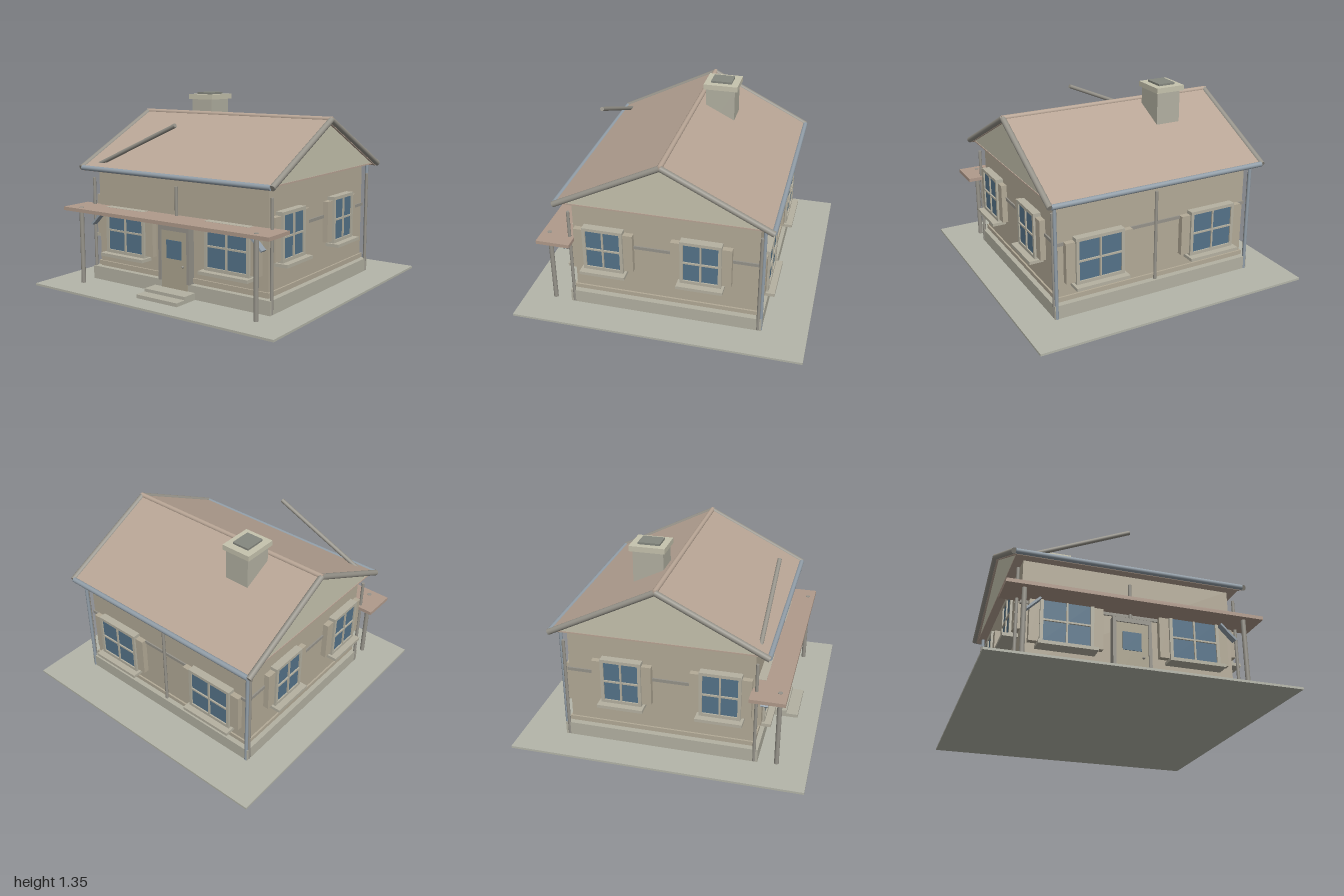
import * as THREE from 'three';

const mat = (c) => new THREE.MeshStandardMaterial({ color: c });
const M = {
  ground: mat(0xb4b5a9), stone: mat(0xb3b1a2), wall: mat(0xb3aa97), gable: mat(0xc6c3ae),
  roof: mat(0xb8a595), canopy: mat(0xb09a8b), timber: mat(0x96938a), metal: mat(0x929ea8),
  trim: mat(0xb5b1a1), glass: mat(0x557389), door: mat(0xaca48f), flue: mat(0x85887f),
};
const HALF = { x: 0.72, z: 0.635 }; // wall half sizes
const ZC = -0.016; // centre of the house along z

function add(parent, name, geo, material) {
  const m = new THREE.Mesh(geo, material);
  m.name = name;
  parent.add(m);
  return m;
}

// Box given by its lower and upper limits on each axis
function box(parent, name, [x0, x1], [y0, y1], [z0, z1], material) {
  const m = add(parent, name, new THREE.BoxGeometry(x1 - x0, y1 - y0, z1 - z0), material);
  m.position.set((x0 + x1) / 2, (y0 + y1) / 2, (z0 + z1) / 2);
  return m;
}

// Round bar between two points
function rod(parent, name, a, b, r, material) {
  const p = new THREE.Vector3(...a), d = new THREE.Vector3(...b).sub(p);
  const m = add(parent, name, new THREE.CylinderGeometry(r, r, d.length(), 16), material);
  m.position.copy(p).addScaledVector(d, 0.5);
  m.quaternion.setFromUnitVectors(new THREE.Vector3(0, 1, 0), d.normalize());
  return m;
}

// Profile drawn in (z, y), extruded along x and centred
function alongX(parent, name, pts, length, material) {
  const shape = new THREE.Shape(pts.map((p) => new THREE.Vector2(...p)));
  const geo = new THREE.ExtrudeGeometry(shape, { depth: length, bevelEnabled: false });
  geo.translate(0, 0, -length / 2).rotateY(-Math.PI / 2);
  return add(parent, name, geo, material);
}

// Window with frame, glazing bars, sill and shutters; faces +z from the wall plane
function makeWindow(w) {
  const g = new THREE.Group(), h = 0.325, f = 0.022;
  g.name = 'window';
  const shape = new THREE.Shape();
  shape.moveTo(-w / 2, 0).lineTo(w / 2, 0).lineTo(w / 2, h).lineTo(-w / 2, h).closePath();
  const hole = new THREE.Path();
  hole.moveTo(-w / 2 + f, f).lineTo(-w / 2 + f, h - f).lineTo(w / 2 - f, h - f).lineTo(w / 2 - f, f).closePath();
  shape.holes.push(hole);
  add(g, 'windowFrame', new THREE.ExtrudeGeometry(shape, { depth: 0.055, bevelEnabled: false }), M.trim);
  box(g, 'glass', [-w / 2 + f, w / 2 - f], [f, h - f], [0, 0.045], M.glass);
  box(g, 'verticalBar', [-0.006, 0.006], [f, h - f], [0.04, 0.055], M.trim);
  box(g, 'horizontalBar', [-w / 2 + f, w / 2 - f], [h / 2 - 0.006, h / 2 + 0.006], [0.04, 0.055], M.trim);
  box(g, 'windowSill', [-w / 2 - 0.018, w / 2 + 0.018], [-0.022, 0], [0, 0.1], M.trim);
  for (const s of [-1, 1]) {
    const x = s * (w / 2 + 0.033);
    box(g, 'shutter', [x - 0.033, x + 0.033], [0.015, h - 0.025], [0, 0.04], M.wall);
  }
  return g;
}

function makeRoof() {
  const g = new THREE.Group();
  g.name = 'roof';
  alongX(g, 'gable', [[-0.69, 0.832], [0.69, 0.832], [0, 1.178]], 1.55, M.gable);
  alongX(g, 'roofSlabs', [[-0.73, 0.835], [-0.72, 0.81], [0, 1.17], [0.72, 0.81], [0.73, 0.835], [0, 1.2]], 1.58, M.roof);
  box(g, 'soffit', [-0.78, 0.78], [0.824, 0.834], [-0.7, 0.7], M.roof);
  rod(g, 'ridgeCap', [-0.81, 1.195, 0], [0.81, 1.195, 0], 0.018, M.roof);
  for (const s of [-1, 1]) {
    rod(g, 'gutter', [-0.79, 0.83, s * 0.727], [0.79, 0.83, s * 0.727], 0.018, M.metal);
    for (const x of [-0.8, 0.8]) rod(g, 'bargeboard', [x, 1.193, 0], [x, 0.828, s * 0.73], 0.02, M.timber);
  }
  return g;
}

function makeChimney() {
  const g = new THREE.Group();
  g.name = 'chimney';
  box(g, 'chimneyStack', [-0.41, -0.23], [0.95, 1.3], [-0.28, -0.07], M.stone);
  box(g, 'chimneyCap', [-0.432, -0.215], [1.295, 1.332], [-0.3, -0.055], M.gable);
  box(g, 'flue', [-0.386, -0.26], [1.33, 1.346], [-0.25, -0.1], M.flue);
  return g;
}

function makeDoor() {
  const g = new THREE.Group();
  g.name = 'frontDoor';
  box(g, 'doorPanel', [-0.11, 0.11], [0.06, 0.46], [0.6, 0.663], M.door);
  box(g, 'doorWindow', [-0.065, 0.062], [0.268, 0.395], [0.65, 0.667], M.glass);
  for (const s of [-1, 1]) {
    const x = s * 0.121;
    box(g, 'doorJamb', [x - 0.011, x + 0.011], [0.11, 0.49], [0.6, 0.672], M.timber);
  }
  box(g, 'doorLintel', [-0.132, 0.132], [0.46, 0.49], [0.6, 0.672], M.timber);
  const knob = add(g, 'doorKnob', new THREE.SphereGeometry(0.009, 12, 8), M.timber);
  knob.position.set(0.075, 0.225, 0.668);
  box(g, 'lowerStep', [-0.175, 0.172], [0.014, 0.04], [0.62, 0.852], M.stone);
  box(g, 'upperStep', [-0.175, 0.172], [0.04, 0.062], [0.62, 0.77], M.stone);
  return g;
}

function makeCanopy() {
  const g = new THREE.Group();
  g.name = 'porchCanopy';
  box(g, 'canopyBoard', [-0.863, 0.86], [0.535, 0.56], [0.602, 0.836], M.canopy);
  for (const s of [-1, 1]) {
    rod(g, 'porchPost', [s * 0.738, 0.014, 0.785], [s * 0.738, 0.562, 0.785], 0.016, M.timber);
    const brace = add(g, 'porchBrace', new THREE.BoxGeometry(0.014, 0.15, 0.05), M.metal);
    brace.position.set(s * 0.668, 0.48, 0.682);
    brace.rotation.z = s * 0.8;
  }
  return g;
}

export function createModel() {
  const model = new THREE.Group();
  model.name = 'cottage';
  box(model, 'ground', [-1, 1], [0, 0.015], [-1, 1], M.ground);

  // Everything centred under the ridge
  const house = new THREE.Group();
  house.name = 'house';
  house.position.z = ZC;
  model.add(house);
  box(house, 'foundation', [-0.76, 0.76], [0.014, 0.11], [-0.675, 0.675], M.stone);
  box(house, 'walls', [-HALF.x, HALF.x], [0.1, 0.83], [-HALF.z, HALF.z], M.wall);
  const band = (name, y0, y1, out, material) => box(house, name,
    [-HALF.x - out, HALF.x + out], [y0, y1], [-HALF.z - out, HALF.z + out], material);
  band('baseTrim', 0.12, 0.15, 0.012, M.wall);
  band('middleRail', 0.513, 0.535, 0.01, M.timber);
  house.add(makeRoof());

  // Upright battens on the front and back, drainpipes at the back corners
  for (const s of [-1, 1]) {
    for (const x of [-0.754, 0, 0.754]) {
      rod(house, 'batten', [x, 0.02, s * 0.651], [x, 0.755, s * 0.651], 0.011, M.timber);
    }
    rod(house, 'drainpipe', [s * 0.745, 0.014, -0.668], [s * 0.745, 0.825, -0.668], 0.012, M.metal);
  }

  // Windows on all four walls
  for (const s of [-1, 1]) {
    for (const x of [-0.434, 0.434]) {
      const w = makeWindow(0.352);
      w.position.set(x, 0.236, s * HALF.z);
      w.rotation.y = s > 0 ? 0 : Math.PI;
      house.add(w);
    }
    for (const z of [0.4, -0.272]) {
      const w = makeWindow(0.28);
      w.position.set(s * HALF.x, 0.328, z - ZC);
      w.rotation.y = s * Math.PI / 2;
      house.add(w);
    }
  }

  model.add(makeChimney(), makeDoor(), makeCanopy());
  rod(model, 'leaningPole', [-0.71, 0.85, 0.638], [0, 1.16, 0.638], 0.015, M.timber);
  return model;
}
